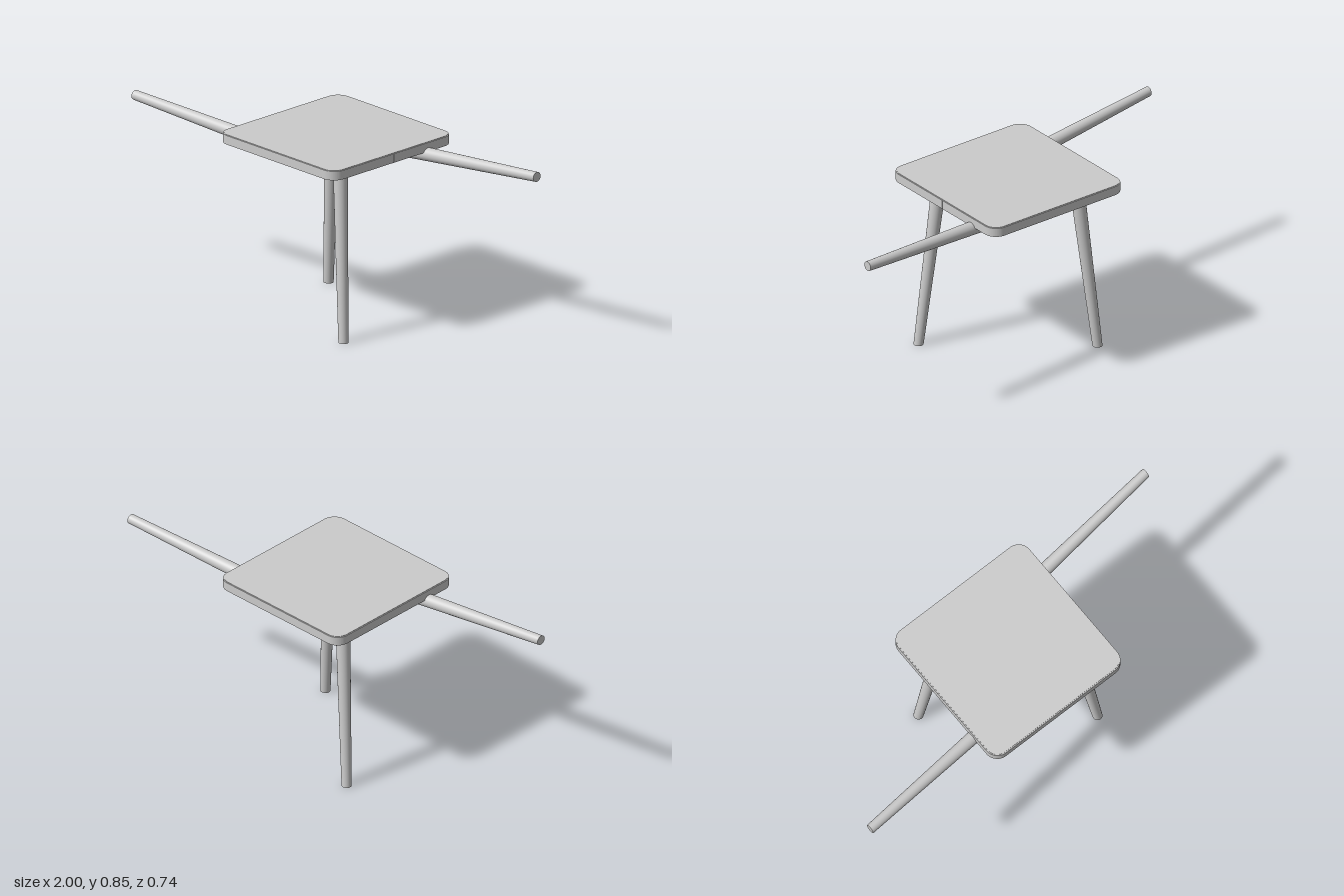
import * as THREE from 'three';

const material = new THREE.MeshStandardMaterial({ color: 0xcccccc });

// Rounded square outline, usable as a shape or as a hole
function roundedSquare(half, r, Type = THREE.Shape) {
  const s = new Type();
  const c = half - r;
  s.moveTo(half, -c);
  s.lineTo(half, c);
  s.absarc(c, c, r, 0, Math.PI / 2);
  s.absarc(-c, c, r, Math.PI / 2, Math.PI);
  s.absarc(-c, -c, r, Math.PI, Math.PI * 1.5);
  s.absarc(c, -c, r, Math.PI * 1.5, Math.PI * 2);
  return s;
}

// Horizontal slab between two heights
function slab(name, shape, y0, y1) {
  const geo = new THREE.ExtrudeGeometry(shape, { depth: y1 - y0, bevelEnabled: false, curveSegments: 16 });
  geo.rotateX(-Math.PI / 2).translate(0, y0, 0);
  const mesh = new THREE.Mesh(geo, material);
  mesh.name = name;
  return mesh;
}

// Tapered leg 0.8 long, standing on the origin, leaning sideways while its ends stay level
const LENGTH = 0.8;
function slantedLeg(topX, topZ) {
  const geo = new THREE.CylinderGeometry(0.033, 0.0225, LENGTH, 32);
  geo.translate(0, LENGTH / 2, 0);
  geo.applyMatrix4(new THREE.Matrix4().set(
    1, topX / LENGTH, 0, 0,
    0, 1, 0, 0,
    0, topZ / LENGTH, 1, 0,
    0, 0, 0, 1));
  return geo;
}

export function createModel() {
  const table = new THREE.Group();
  table.name = 'table';

  // Top panel with a thin edge band around it
  table.add(slab('topPanel', roundedSquare(0.366, 0.056), 0.8, 0.843));
  const band = roundedSquare(0.371, 0.061);
  band.holes.push(roundedSquare(0.365, 0.055, THREE.Path));
  table.add(slab('edgeBand', band, 0.799, 0.841));

  // Joint where the edge band meets itself
  const joint = new THREE.Mesh(new THREE.BoxGeometry(0.003, 0.041, 0.006), material);
  joint.name = 'edgeBandJoint';
  joint.position.set(0.3705, 0.82, 0);
  table.add(joint);

  // One standing and one folded-out leg, repeated half a turn round
  const standing = slantedLeg(-0.075, -0.053).translate(0.307, 0, 0.249);
  const folded = slantedLeg(-0.053, 0.08);
  folded.rotateZ(Math.PI / 2).translate(1, 0.828, -0.271);
  for (let i = 0; i < 2; i++) {
    const pair = new THREE.Group();
    pair.name = 'legPair';
    const legs = { standingLeg: standing, foldedOutLeg: folded };
    for (const [name, geo] of Object.entries(legs)) {
      const leg = new THREE.Mesh(geo, material);
      leg.name = name;
      pair.add(leg);
    }
    pair.rotation.y = i * Math.PI;
    table.add(pair);
  }

  table.position.z = 0.002;
  return table;
}
